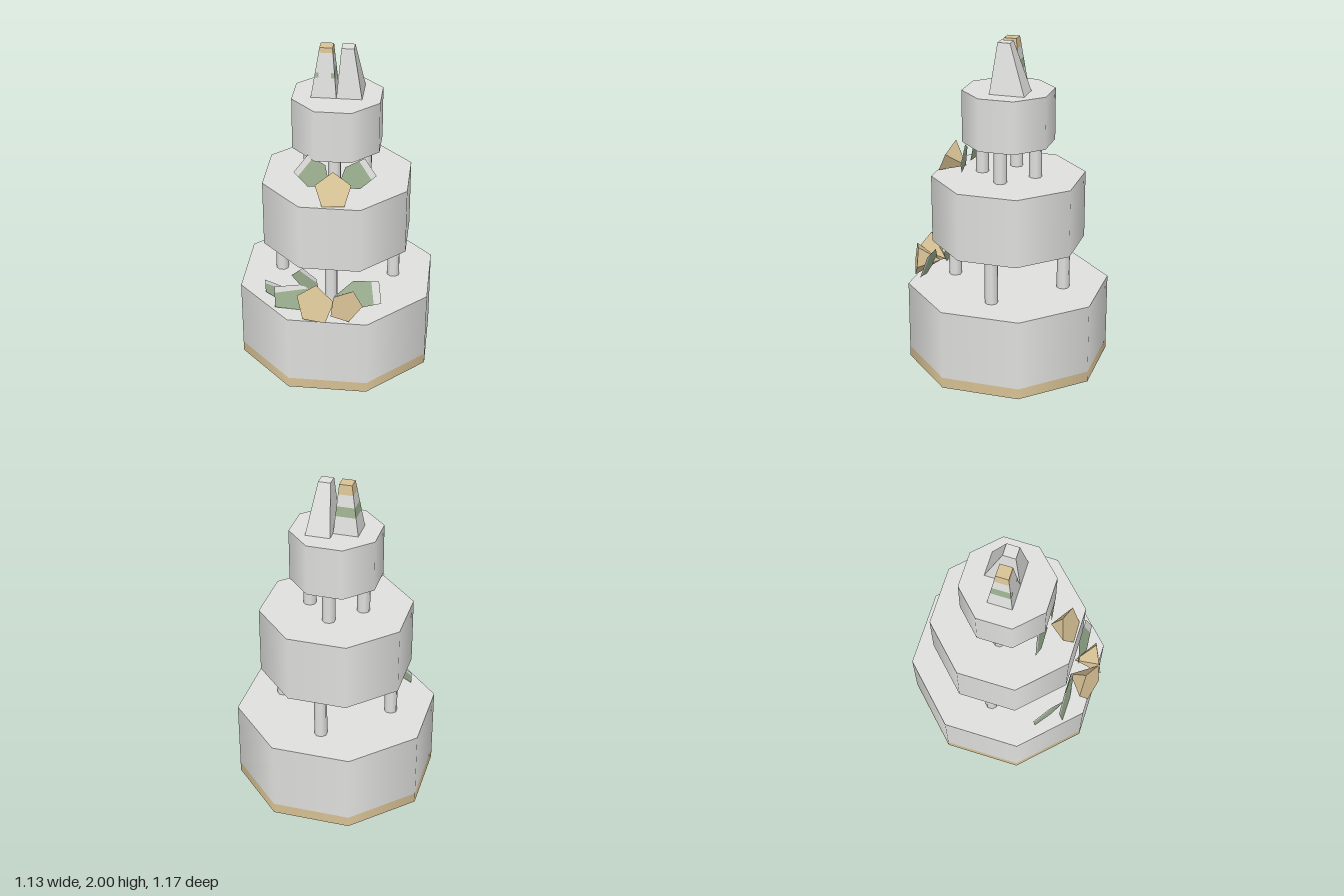
import * as THREE from 'three';

const mat = (name, color) =>
  Object.assign(new THREE.MeshStandardMaterial({ color, side: THREE.DoubleSide }), { name });
const icing = mat('icing', 0xe0e0de);
const gold = mat('gold', 0xd9c396);
const leafGreen = mat('leafGreen', 0x9cb091);

const CZ = -0.023; // axis of the cake
const mix = THREE.MathUtils.lerp;

function add(parent, name, geometry, material) {
  const mesh = new THREE.Mesh(geometry, material);
  mesh.name = name;
  parent.add(mesh);
  return mesh;
}

// Upright eight-sided drum; apothem is the distance to its flat sides
function drum(parent, name, apothem, y0, y1, x, z, material) {
  const r = apothem / Math.cos(Math.PI / 8);
  const g = new THREE.CylinderGeometry(r, r, y1 - y0, 8);
  g.rotateY(Math.PI / 8);
  g.translate(x, (y0 + y1) / 2, z);
  add(parent, name, g, material);
}

// Slice of a tapering block between fractions t0 and t1 of its height
function taper(parent, name, base, top, t0, t1, materials) {
  const g = new THREE.BoxGeometry(1, 1, 1);
  const p = g.attributes.position;
  for (let i = 0; i < p.count; i++) {
    const t = p.getY(i) > 0 ? t1 : t0;
    const ix = p.getX(i) > 0 ? 1 : 0;
    const iz = p.getZ(i) > 0 ? 3 : 2;
    p.setXYZ(i, mix(base[ix], top[ix], t), mix(1.705, 2, t), mix(base[iz], top[iz], t));
  }
  g.computeVertexNormals();
  add(parent, name, g, materials);
}

// Flat plate: outline in x, y lying on the plane z = c + a x + b y
function plate(parent, name, outline, [c, a, b], material) {
  const g = new THREE.ShapeGeometry(new THREE.Shape(outline));
  const p = g.attributes.position;
  for (let i = 0; i < p.count; i++) p.setZ(i, c + a * p.getX(i) + b * p.getY(i));
  g.computeVertexNormals();
  add(parent, name, g, material);
}

// Five-sided leaf from root to a blunt end, with a pale strip along one edge
function leaf(parent, name, root, end, width, paleEdge, plane) {
  const group = new THREE.Group();
  group.name = name;
  parent.add(group);
  const from = new THREE.Vector2(...root);
  const along = new THREE.Vector2(...end).sub(from);
  const across = new THREE.Vector2(-along.y, along.x).setLength(width);
  const at = (u, v) => from.clone().addScaledVector(along, u).addScaledVector(across, v);
  const pts = [at(0, 0), at(0.45, -0.5), at(1, -0.4), at(1, 0.4), at(0.45, 0.5)];
  const k = paleEdge;
  const inner0 = pts[k].clone().lerp(pts[k - 1], 0.3);
  const inner1 = pts[k + 1].clone().lerp(pts[k + 2], 0.3);
  plate(group, 'leafEdge', [inner0, pts[k], pts[k + 1], inner1], plane, icing);
  pts.splice(k, 2, inner0, inner1);
  plate(group, 'leafBlade', pts, plane, leafGreen);
}

// Five-sided blossom: a flat face towards the facing, narrowing to a point behind
function blossom(parent, name, centre, facing, radius, depth, rollDegrees) {
  const g = new THREE.ConeGeometry(radius, depth, 5).toNonIndexed();
  g.rotateX(-Math.PI / 2);
  g.translate(0, 0, -depth / 2);
  g.rotateZ(THREE.MathUtils.degToRad(rollDegrees));
  g.computeVertexNormals();
  const mesh = add(parent, name, g, gold);
  mesh.position.set(...centre);
  mesh.lookAt(new THREE.Vector3(...facing).add(mesh.position));
}

export function createModel() {
  const cake = new THREE.Group();
  cake.name = 'tieredCake';

  // Tiers, with a gold ribbon round the foot
  drum(cake, 'baseRibbon', 0.567, 0, 0.065, 0, CZ, gold);
  drum(cake, 'bottomTier', 0.567, 0.065, 0.492, 0, CZ, icing);
  drum(cake, 'middleTier', 0.427, 0.768, 1.182, 0, CZ, icing);
  drum(cake, 'topTier', 0.255, 1.39, 1.705, 0, CZ, icing);

  // Four pillars below each raised tier
  for (let i = 0; i < 4; i++) {
    const dx = Math.cos(i * Math.PI / 2);
    const dz = Math.sin(i * Math.PI / 2);
    drum(cake, 'lowerPillar', 0.036, 0.492, 0.768, 0.345 * dx, CZ + 0.345 * dz, icing);
    drum(cake, 'upperPillar', 0.036, 1.182, 1.39, 0.165 * dx, CZ + 0.165 * dz, icing);
  }

  // Pair of tapering toppers: [x0, x1, z0, z1] at the foot and at the tip
  taper(cake, 'plainTopper', [0, 0.148, -0.16, 0.05], [0.025, 0.097, -0.06, 0.015], 0, 1, icing);
  const topper = new THREE.Group();
  topper.name = 'bandedTopper';
  cake.add(topper);
  const bands = [
    ['topperFoot', 0, 0.36, icing, icing],
    ['greenBand', 0.36, 0.56, leafGreen, icing],
    ['topperNeck', 0.56, 0.8, icing, icing],
    ['goldCollar', 0.8, 0.9, gold, icing],
    ['goldTip', 0.9, 1, gold, gold],
  ];
  for (const [name, t0, t1, side, front] of bands) {
    taper(topper, name, [-0.148, 0, -0.097, 0.05], [-0.1, -0.025, -0.06, 0.015], t0, t1,
      [side, side, side, side, front, side]);
  }
  // Green spots at both edges of the topper's front
  for (const s of [-1, 1]) {
    const spot = [0.057, 0.036, 0.036, 0.052].map((dx, i) =>
      new THREE.Vector2(-0.068 + s * dx, i < 2 ? 1.825 : 1.855));
    plate(topper, 'greenSpot', spot, [0.255, 0, -0.1186], leafGreen);
  }

  // Blossoms
  blossom(cake, 'largeBlossom', [-0.071, 0.604, 0.536], [-0.256, 0.302, 1], 0.121, 0.148, 2);
  blossom(cake, 'sideBlossom', [0.11, 0.607, 0.536], [0.43, 0.126, 1], 0.104, 0.149, 44);
  blossom(cake, 'upperBlossom', [0.015, 1.267, 0.352], [0, 0.49, 1], 0.11, 0.128, 3);

  // Leaves behind the blossoms
  leaf(cake, 'standingLeaf', [-0.06, 0.6], [-0.19, 0.75], 0.11, 1, [0.342, 0, 0.1]);
  leaf(cake, 'rightLeaf', [-0.03, 0.58], [-0.325, 0.565], 0.16, 1, [0.535, 0, -0.2]);
  leaf(cake, 'outerRightLeaf', [-0.21, 0.55], [-0.405, 0.54], 0.1, 1, [0.62, 0.72, -0.1]);
  leaf(cake, 'leftLeaf', [0.03, 0.6], [0.3, 0.64], 0.16, 2, [0.628, 0, -0.33]);
  leaf(cake, 'upperRightLeaf', [-0.02, 1.23], [-0.19, 1.355], 0.17, 2, [0.41, 0, -0.15]);
  leaf(cake, 'upperLeftLeaf', [0.03, 1.23], [0.215, 1.347], 0.16, 2, [0.424, -0.15, -0.15]);

  return cake;
}
